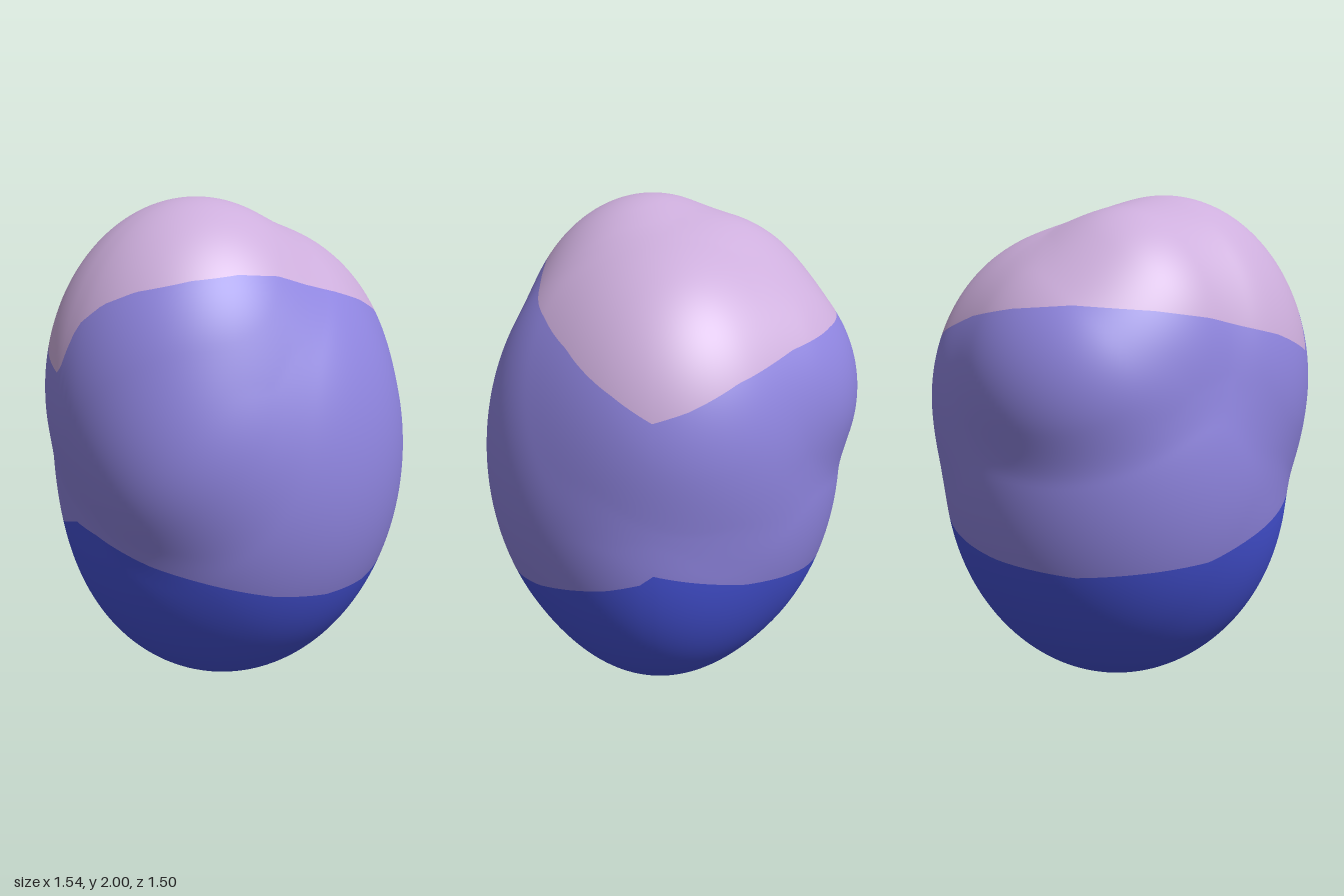
import * as THREE from 'three';

// Overlapping ellipsoid lobes: centre, radii
const LOBES = [
  [[0.02, 0.97, 0.03], [0.715, 0.945, 0.725]], // main body
  [[0.025, 0.8, 0.04], [0.71, 0.79, 0.58]], // broad base
  [[-0.17, 1.25, 0.08], [0.6, 0.75, 0.57]], // left top lobe
  [[-0.2, 1.1, 0.2], [0.53, 0.6, 0.49]], // left front lobe
  [[0.17, 1.17, -0.02], [0.6, 0.7, 0.58]], // right top lobe
  [[0.05, 1.26, -0.1], [0.58, 0.6, 0.65]], // back lobe
  [[-0.07, 1.35, -0.1], [0.51, 0.6, 0.55]], // crown lobe
];
const CENTRE = [0.02, 0.95, 0.03];
const BLEND = 0.05;

// Heights of the colour borders: degrees from +x towards +z, y
const LOWER_BORDER = [[0, 0.75], [4, 0.71], [15, 0.665], [30, 0.62], [45, 0.575], [70, 0.53], [90, 0.535],
  [110, 0.57], [130, 0.63], [150, 0.69], [170, 0.77], [180, 0.79], [200, 0.71], [225, 0.62], [270, 0.58],
  [300, 0.61], [330, 0.66], [350, 0.72], [360, 0.75]];
const UPPER_BORDER = [[0, 1.34], [12, 1.42], [33, 1.54], [53, 1.61], [72, 1.66], [90, 1.7], [105, 1.74],
  [122, 1.755], [138, 1.74], [155, 1.7], [165, 1.65], [173, 1.57], [179, 1.38], [198, 1.46], [225, 1.53],
  [245, 1.56], [270, 1.58], [290, 1.565], [312, 1.53], [335, 1.46], [350, 1.38], [360, 1.34]];

function lookUp(table, deg) {
  const k = Math.max(1, table.findIndex((p) => p[0] >= deg));
  const [a, ya] = table[k - 1];
  const [b, yb] = table[k];
  return ya + (yb - ya) * (deg - a) / (b - a);
}

// Distance from the centre to the far side of one lobe
function lobeDistance([c, r], dir) {
  let A = 0, B = 0, C = -1;
  for (let k = 0; k < 3; k++) {
    const d = dir[k] / r[k];
    const o = (CENTRE[k] - c[k]) / r[k];
    A += d * d;
    B += d * o;
    C += o * o;
  }
  return (-B + Math.sqrt(B * B - A * C)) / A;
}

// Maximum with a soft fillet where two lobes meet
function softMax(a, b) {
  const h = Math.max(BLEND - Math.abs(a - b), 0);
  return Math.max(a, b) + h * h / (4 * BLEND);
}

// Outermost lobe surface; t runs from the bottom (0) to the top (1)
function surfacePoint(deg, t) {
  const a = THREE.MathUtils.degToRad(deg);
  const phi = (t - 0.5) * Math.PI;
  const dir = [Math.cos(phi) * Math.cos(a), Math.sin(phi), Math.cos(phi) * Math.sin(a)];
  const radius = LOBES.map((lobe) => lobeDistance(lobe, dir)).sort((p, q) => p - q).reduce(softMax);
  return dir.map((d, k) => CENTRE[k] + d * radius);
}

// Parameter at which a column reaches height y
function paramAt(deg, y) {
  let lo = 0, hi = 1;
  for (let n = 0; n < 20; n++) {
    const mid = (lo + hi) / 2;
    if (surfacePoint(deg, mid)[1] < y) lo = mid; else hi = mid;
  }
  return lo;
}

export function createModel() {
  const group = new THREE.Group();
  group.name = 'pebble';

  const colour = (name, hex) => {
    const m = new THREE.MeshStandardMaterial({ color: hex });
    m.name = name;
    return m;
  };
  const materials = [
    colour('deep blue', 0x4552d6),
    colour('lavender', 0x8f85e0),
    colour('pale pink', 0xcdaedc),
  ];

  // Rings from pole to pole; each column is bent to follow the colour borders
  const COLS = 180;
  const BANDS = [40, 48, 60];
  const ROWS = BANDS[0] + BANDS[1] + BANDS[2];
  const positions = new Float32Array((ROWS + 1) * COLS * 3);
  for (let i = 0; i < COLS; i++) {
    const deg = 360 * i / COLS;
    const stops = [0, paramAt(deg, lookUp(LOWER_BORDER, deg)), paramAt(deg, lookUp(UPPER_BORDER, deg)), 1];
    let row = 0;
    BANDS.forEach((count, b) => {
      for (let j = 0; j < count + (b === 2 ? 1 : 0); j++, row++) {
        const t = stops[b] + (stops[b + 1] - stops[b]) * j / count;
        positions.set(surfacePoint(deg, t), (row * COLS + i) * 3);
      }
    });
  }

  // Each pole is a single shared vertex
  const index = [];
  const vertex = (row, col) => (row === 0 || row === ROWS ? row * COLS : row * COLS + col % COLS);
  for (let r = 0; r < ROWS; r++) {
    for (let i = 0; i < COLS; i++) {
      const a = vertex(r, i), b = vertex(r, i + 1), c = vertex(r + 1, i), d = vertex(r + 1, i + 1);
      index.push(a, c, b, b, c, d);
    }
  }

  const geometry = new THREE.BufferGeometry();
  geometry.setAttribute('position', new THREE.BufferAttribute(positions, 3));
  geometry.setIndex(index);
  let start = 0;
  BANDS.forEach((count, b) => {
    geometry.addGroup(start, count * COLS * 6, b);
    start += count * COLS * 6;
  });
  geometry.computeVertexNormals();

  const body = new THREE.Mesh(geometry, materials);
  body.name = 'lobedBody';
  group.add(body);
  return group;
}
